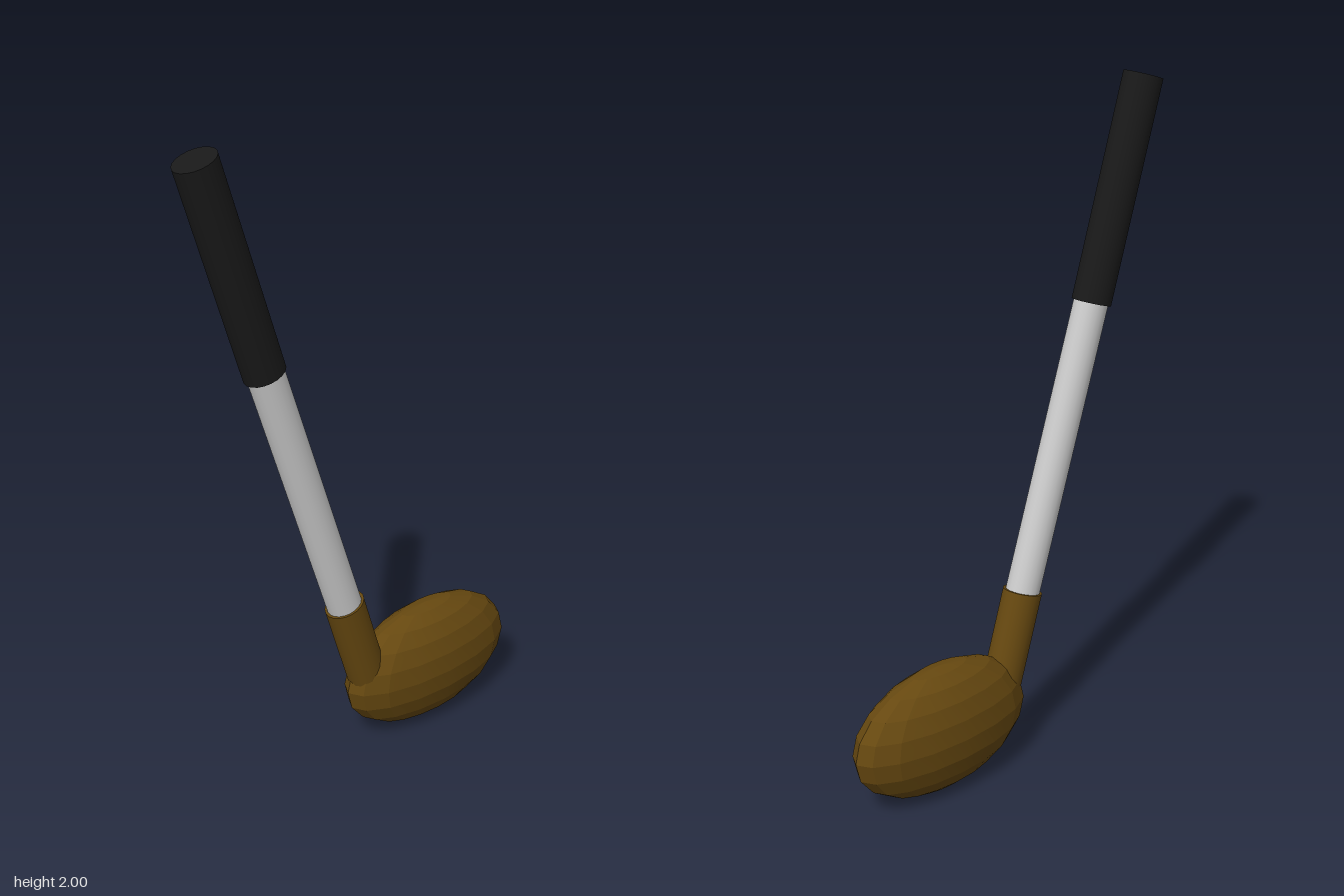
import * as THREE from 'three';
import { toCreasedNormals } from 'three/addons/utils/BufferGeometryUtils.js';

const brown = new THREE.MeshStandardMaterial({ color: 0x664810 });
const black = new THREE.MeshStandardMaterial({ color: 0x191919 });
const grey = new THREE.MeshStandardMaterial({ color: 0xcccccc });

// Slightly oval rod between two points in the x-y plane
function rod(name, from, to, radiusX, radiusZ, material) {
  const a = new THREE.Vector3(from[0], from[1], 0);
  const b = new THREE.Vector3(to[0], to[1], 0);
  const geometry = new THREE.CylinderGeometry(1, 1, a.distanceTo(b), 20);
  geometry.scale(radiusX, 1, radiusZ);
  const mesh = new THREE.Mesh(geometry, material);
  mesh.name = name;
  mesh.position.copy(a).lerp(b, 0.5);
  mesh.rotation.z = Math.atan2(a.x - b.x, b.y - a.y);
  return mesh;
}

export function createModel() {
  const club = new THREE.Group();
  club.name = 'golfClub';

  // Flattened egg-shaped head with visible horizontal bands
  const headGeometry = new THREE.SphereGeometry(1, 16, 10);
  headGeometry.scale(0.317, 0.197, 0.115);
  const head = new THREE.Mesh(toCreasedNormals(headGeometry, 0.17), brown);
  head.name = 'head';
  head.position.set(0.27, 0.2, 0);
  club.add(head);

  // Leaning shaft with a socket at the head and a grip at the top
  club.add(
    rod('socket', [0.03, 0.235], [-0.06, 0.523], 0.063, 0.055, brown),
    rod('shaft', [-0.04, 0.46], [-0.35, 1.41], 0.055, 0.048, grey),
    rod('grip', [-0.333, 1.352], [-0.53, 1.981], 0.063, 0.055, black),
  );
  return club;
}
